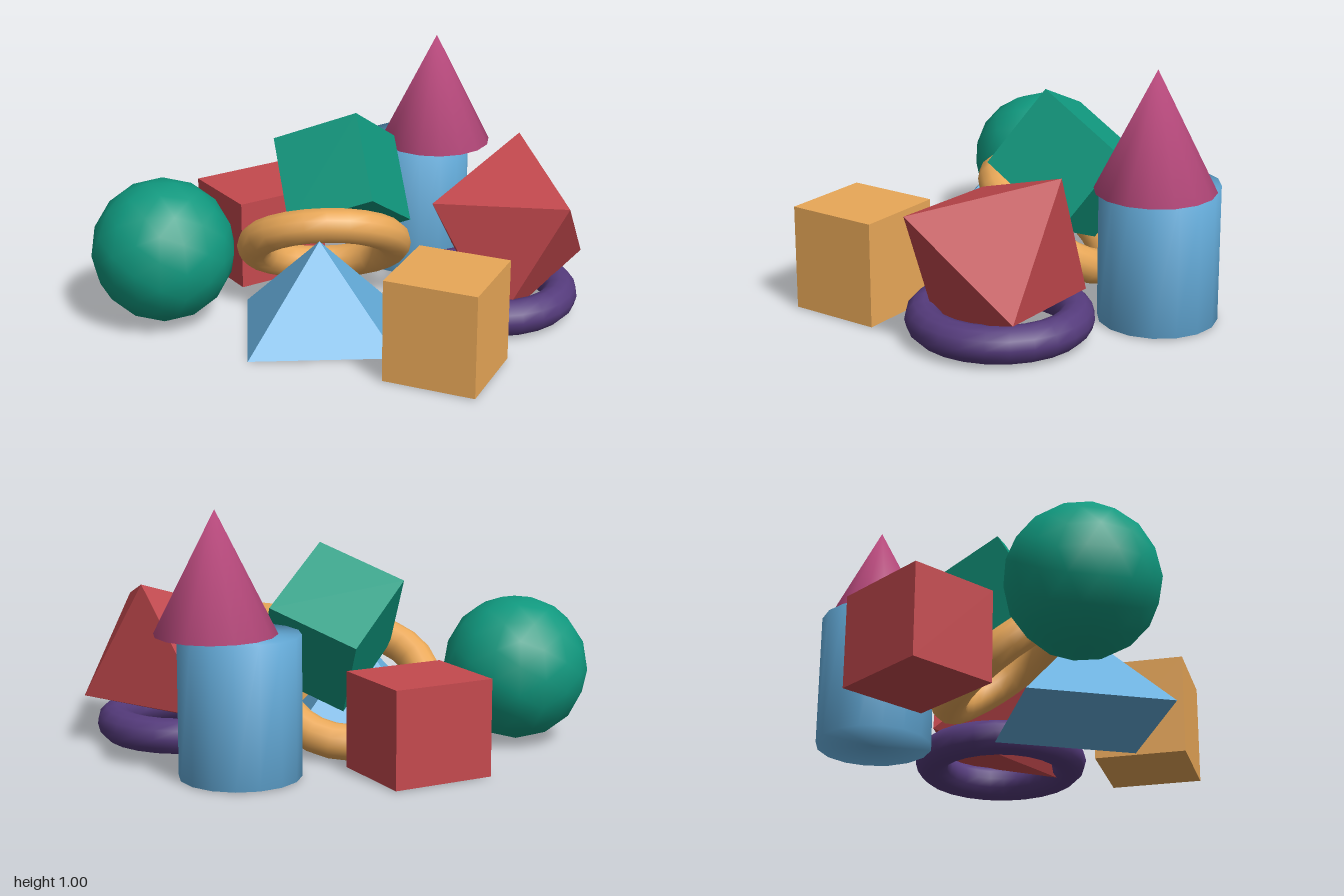
import * as THREE from 'three';
import { mergeVertices } from 'three/addons/utils/BufferGeometryUtils.js';

const COLORS = {
  green: 0x10997f, red: 0xc4494e, blue: 0x66afde,
  purple: 0x553b7c, orange: 0xe9a858, pink: 0xc04d82,
};

// Shares all corners so shading runs smoothly across the rims
function smooth(geometry) {
  geometry.deleteAttribute('normal');
  geometry.deleteAttribute('uv');
  const merged = mergeVertices(geometry);
  merged.computeVertexNormals();
  return merged;
}

// Turns a mesh so its local x and y follow the given directions
function orient(mesh, xDir, yDir) {
  const x = new THREE.Vector3(...xDir).normalize();
  const z = new THREE.Vector3().crossVectors(x, new THREE.Vector3(...yDir)).normalize();
  const y = new THREE.Vector3().crossVectors(z, x);
  mesh.quaternion.setFromRotationMatrix(new THREE.Matrix4().makeBasis(x, y, z));
}

// Torus lying flat, axis along y
const ring = () => new THREE.TorusGeometry(0.286, 0.071, 12, 24).rotateX(Math.PI / 2);

export function createModel() {
  const group = new THREE.Group();

  function add(name, geometry, color, x, y, z, flatShading = false) {
    const material = new THREE.MeshStandardMaterial({ color: COLORS[color], flatShading });
    const mesh = new THREE.Mesh(geometry, material);
    mesh.name = name;
    mesh.position.set(x, y, z);
    group.add(mesh);
    return mesh;
  }

  // Ball on the right-hand end
  add('ball', smooth(new THREE.IcosahedronGeometry(0.288, 2)), 'green', -0.714, 0.295, 0.015);

  // Upright blocks
  add('frontBlock', new THREE.BoxGeometry(0.37, 0.41, 0.37), 'orange', 0.366, 0.209, 0.559, true)
    .rotation.y = -0.464;
  add('backBlock', new THREE.BoxGeometry(0.408, 0.372, 0.37), 'red', -0.318, 0.19, -0.513, true)
    .rotation.y = 0.523;

  // Square pyramid
  const pyramid = new THREE.ConeGeometry(0.408, 0.375, 4).rotateY(Math.PI / 4);
  add('pyramid', pyramid, 'blue', -0.096, 0.192, 0.168, true);

  // Column with a cone resting on it, slightly off centre
  add('column', smooth(new THREE.CylinderGeometry(0.231, 0.231, 0.535, 16)), 'blue', 0.343, 0.273, -0.581);
  add('cone', smooth(new THREE.ConeGeometry(0.231, 0.46, 16)), 'pink', 0.43, 0.77, -0.571);

  // Flat ring and leaning ring
  add('flatRing', ring(), 'purple', 0.604, 0.079, -0.013);
  add('leaningRing', ring(), 'orange', -0.066, 0.246, -0.121).rotation.x = -0.657;

  // Block tipped over the leaning ring
  const tippedBlock = add('tippedBlock', new THREE.BoxGeometry(0.368, 0.37, 0.415), 'green', 0.015, 0.498, -0.204, true);
  orient(tippedBlock, [0.89, 0.366, 0.27], [-0.152, 0.783, -0.602]);

  // Octahedron tipped over the flat ring
  const octahedron = new THREE.OctahedronGeometry(1).scale(0.408, 0.37, 0.408);
  const tippedOctahedron = add('tippedOctahedron', octahedron, 'red', 0.675, 0.348, -0.016, true);
  orient(tippedOctahedron, [0.169, 0.784, -0.596], [0.87, -0.405, -0.29]);

  return group;
}
